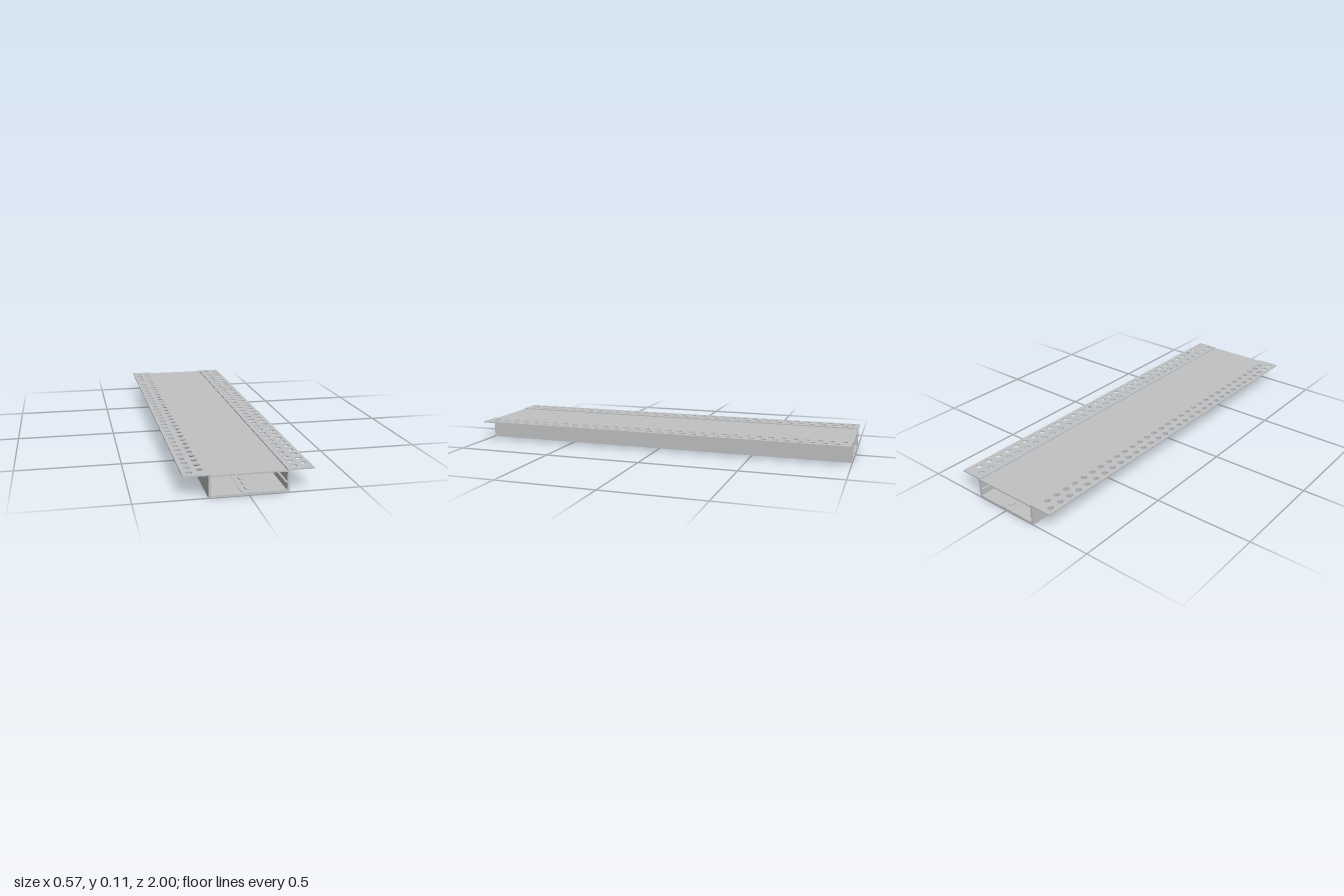
import * as THREE from 'three';

const LENGTH = 2;

export function createModel() {
  const group = new THREE.Group();
  const aluminium = new THREE.MeshStandardMaterial({ color: 0xc1c2c4 });
  aluminium.name = 'light grey aluminium';

  const add = (name, geometry, x = 0, y = 0, z = 0) => {
    const mesh = new THREE.Mesh(geometry, aluminium);
    mesh.name = name;
    mesh.position.set(x, y, z);
    group.add(mesh);
    return mesh;
  };
  const box = (name, w, h, d, x, y, z = 0) => add(name, new THREE.BoxGeometry(w, h, d), x, y, z);

  // U-shaped channel with small inner fillets
  const u = new THREE.Shape();
  u.moveTo(-0.177, 0);
  u.lineTo(0.177, 0);
  u.lineTo(0.177, 0.1);
  u.lineTo(0.167, 0.1);
  u.lineTo(0.167, 0.014);
  u.quadraticCurveTo(0.167, 0.01, 0.163, 0.01);
  u.lineTo(-0.163, 0.01);
  u.quadraticCurveTo(-0.167, 0.01, -0.167, 0.014);
  u.lineTo(-0.167, 0.1);
  u.lineTo(-0.177, 0.1);
  u.closePath();
  add('channel', new THREE.ExtrudeGeometry(u, { depth: LENGTH, bevelEnabled: false, curveSegments: 4 }), 0, 0, -LENGTH / 2);

  // Perforated flanges: two staggered rows of holes on each side
  const flange = (name, x0, x1, longRowX, shortRowX) => {
    const s = new THREE.Shape();
    s.moveTo(x0, -1);
    s.lineTo(x1, -1);
    s.lineTo(x1, 1);
    s.lineTo(x0, 1);
    s.closePath();
    const row = (x, count) => {
      for (let i = 0; i < count; i++) {
        const hole = new THREE.Path();
        hole.absarc(x, (i - (count - 1) / 2) * 0.06, 0.015, 0, Math.PI * 2, true);
        s.holes.push(hole);
      }
    };
    row(longRowX, 33);
    row(shortRowX, 32);
    const g = new THREE.ExtrudeGeometry(s, { depth: 0.006, bevelEnabled: false, curveSegments: 10 });
    g.rotateX(-Math.PI / 2);
    add(name, g, 0, 0.1, 0);
  };
  flange('rightFlange', -0.287, -0.167, -0.255, -0.205);
  flange('leftFlange', 0.167, 0.287, 0.205, 0.255);

  // Flat cover, recessed just below the flanges
  box('cover', 0.334, 0.007, LENGTH, 0, 0.0975);

  // Inner ribs along both walls
  for (const side of [-1, 1]) box('innerRib', 0.01, 0.005, LENGTH, side * 0.1625, 0.0475);

  // Light strip with a row of small diodes
  box('lightStrip', 0.066, 0.002, LENGTH, 0, 0.0135);
  for (let i = 0; i < 33; i++) box('diode', 0.018, 0.005, 0.034, 0, 0.017, (i - 16) * 0.06);

  return group;
}
